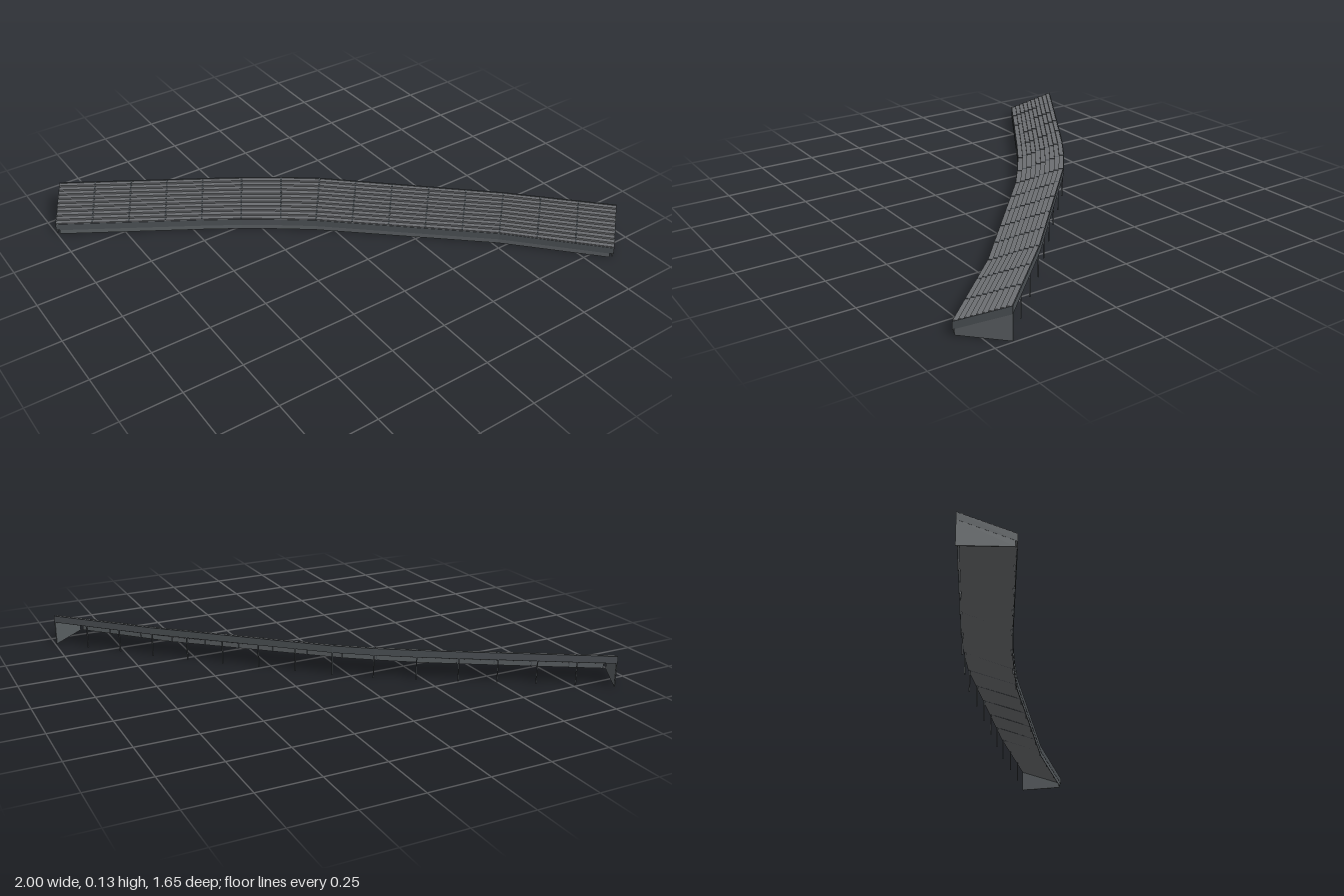
import * as THREE from 'three';

// Plan corners at key bays: [bay, frontX, frontZ, backX, backZ]
const KEYS = [
  [0, -1.0, -0.65, -0.895, -0.826],
  [4, -0.468, -0.325, -0.36, -0.5],
  [5, -0.325, -0.234, -0.215, -0.41],
  [6, -0.185, -0.135, -0.07, -0.313],
  [7, -0.065, -0.045, 0.067, -0.21],
  [12, 0.522, 0.473, 0.66, 0.334],
  [15, 0.848, 0.82, 0.995, 0.677],
];
const BAYS = 15, ROWS = 10;
const LOW = 0.05, HIGH = 0.13, DEPTH = 0.03;

// Point at a bay position s, u from front (0) to back (1), and height y
function at(s, u, y) {
  let i = 0;
  while (i < KEYS.length - 2 && s > KEYS[i + 1][0]) i++;
  const a = KEYS[i], b = KEYS[i + 1];
  const t = (s - a[0]) / (b[0] - a[0]);
  const k = (n) => a[n] + (b[n] - a[n]) * t;
  return new THREE.Vector3(k(1) + (k(3) - k(1)) * u, y, k(2) + (k(4) - k(2)) * u);
}

// Sweep a counter-clockwise (u, y) profile from bay s0 to s1, with end caps
function sweep(profile, s0, s1) {
  const stations = [s0, ...KEYS.map((k) => k[0]).filter((s) => s > s0 && s < s1), s1];
  const pos = [];
  const tri = (...pts) => pts.forEach((p) => pos.push(p.x, p.y, p.z));
  for (let j = 0; j < stations.length - 1; j++) {
    profile.forEach((p, i) => {
      const q = profile[(i + 1) % profile.length];
      const a = at(stations[j], ...p), b = at(stations[j], ...q);
      const c = at(stations[j + 1], ...q), d = at(stations[j + 1], ...p);
      tri(a, b, c);
      tri(a, c, d);
    });
  }
  const flat = profile.map((p) => new THREE.Vector2(...p));
  for (const [a, b, c] of THREE.ShapeUtils.triangulateShape(flat, [])) {
    tri(at(s1, ...profile[a]), at(s1, ...profile[b]), at(s1, ...profile[c]));
    tri(at(s0, ...profile[c]), at(s0, ...profile[b]), at(s0, ...profile[a]));
  }
  const g = new THREE.BufferGeometry();
  g.setAttribute('position', new THREE.Float32BufferAttribute(pos, 3));
  g.computeVertexNormals();
  return g;
}

const rect = (u0, u1, y0, y1) => [[u0, y0], [u1, y0], [u1, y1], [u0, y1]];
const slope = (u) => LOW + (HIGH - LOW) * u;

// Stepped deck section, lifted by the given amount
function steppedProfile(lift) {
  const u0 = 0.01, u1 = 0.99;
  const pts = [[u0, slope(u0) - DEPTH], [u1, slope(u1) - DEPTH]];
  for (let r = ROWS - 1; r >= 0; r--) {
    const y = LOW + (HIGH - LOW) * (r + 0.6) / ROWS + lift;
    pts.push([u0 + (u1 - u0) * (r + 1) / ROWS, y], [u0 + (u1 - u0) * r / ROWS, y]);
  }
  return pts;
}

export function createModel() {
  const model = new THREE.Group();
  const mat = (name, color) => {
    const m = new THREE.MeshStandardMaterial({ color });
    m.name = name;
    return m;
  };
  const deckGrey = mat('deck grey', 0x6c6e71);
  const wallGrey = mat('wall grey', 0x5a5f62);
  const trimGrey = mat('dark trim grey', 0x4c5155);
  const add = (name, geometry, material, parent = model) => {
    const mesh = new THREE.Mesh(geometry, material);
    mesh.name = name;
    parent.add(mesh);
    return mesh;
  };
  const group = (name) => {
    const g = new THREE.Group();
    g.name = name;
    model.add(g);
    return g;
  };

  // Sloping deck of shallow steps
  add('steppedDeck', sweep(steppedProfile(0), 0.02, BAYS - 0.02), deckGrey);

  // Narrow dividers across the deck at every bay
  const dividers = group('bayDividers');
  for (let i = 1; i < BAYS; i++) {
    add('bayDivider', sweep(steppedProfile(0.0015), i - 0.022, i + 0.022), trimGrey, dividers);
  }

  // Rim around the deck
  add('frontRim', sweep(rect(0, 0.02, LOW - DEPTH, LOW), 0, BAYS), trimGrey);
  add('backRim', sweep(rect(0.98, 1, HIGH - DEPTH, HIGH), 0, BAYS), trimGrey);
  const rim = [[0, LOW - DEPTH], [1, HIGH - DEPTH], [1, HIGH], [0, LOW]];
  add('rightEndRim', sweep(rim, 0, 0.03), trimGrey);
  add('leftEndRim', sweep(rim, BAYS - 0.03, BAYS), trimGrey);

  // Walls below the rim, with a narrow gap at the front corners
  add('frontWall', sweep(rect(0.005, 0.02, 0, LOW - 0.015), 0.09, BAYS - 0.09), wallGrey);
  const endWall = [[0.04, 0], [1, 0], [1, HIGH - DEPTH], [0.04, slope(0.04) - DEPTH]];
  add('rightEndWall', sweep(endWall, 0.004, 0.03), wallGrey);
  add('leftEndWall', sweep(endWall, BAYS - 0.03, BAYS - 0.004), wallGrey);

  // Thin posts under the open back and short ones behind the front wall
  const posts = group('supportPosts');
  for (let i = 1; i < BAYS; i++) {
    add('backPost', sweep(rect(0.955, 0.98, 0, HIGH - DEPTH), i - 0.015, i + 0.015), trimGrey, posts);
    add('frontPost', sweep(rect(0.02, 0.045, 0, LOW - 0.02), i - 0.015, i + 0.015), trimGrey, posts);
  }
  return model;
}
